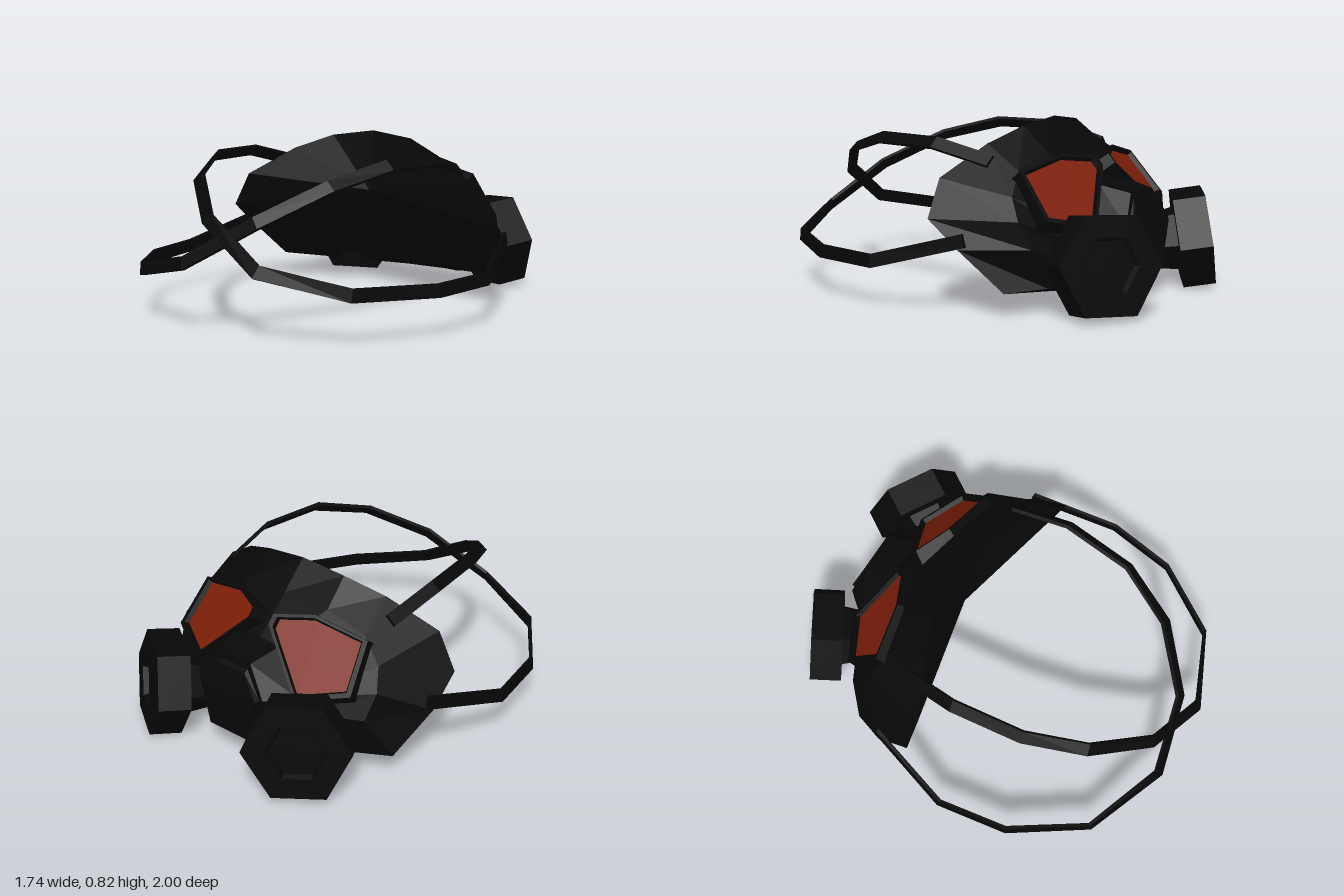
import * as THREE from 'three';

const V = (x, y, z) => new THREE.Vector3(x, y, z);
const rubber = new THREE.MeshStandardMaterial({ color: 0x070707, flatShading: true });
rubber.name = 'black rubber';
const amber = new THREE.MeshStandardMaterial({ color: 0x7d1f0a, flatShading: true });
amber.name = 'amber lens';

// Skin a row of closed rings; optional centre points close the first and last ring.
function loft(rings, startCentre, endCentre) {
  const pos = [];
  const tri = (...pts) => pts.forEach(p => pos.push(p.x, p.y, p.z));
  const n = rings[0].length;
  for (let i = 0; i < n; i++) {
    const j = (i + 1) % n;
    for (let r = 0; r < rings.length - 1; r++) {
      const [a, b, c, d] = [rings[r][i], rings[r][j], rings[r + 1][j], rings[r + 1][i]];
      tri(a, b, c);
      tri(a, c, d);
    }
    if (startCentre) tri(startCentre, rings[0][j], rings[0][i]);
    if (endCentre) tri(endCentre, rings.at(-1)[i], rings.at(-1)[j]);
  }
  const g = new THREE.BufferGeometry();
  g.setAttribute('position', new THREE.Float32BufferAttribute(pos, 3));
  g.computeVertexNormals();
  return g;
}

// Complete a half outline (top to bottom on +x) with its mirror image.
function mirrorRing(half) {
  const pts = half.map(p => V(...p));
  const other = pts.filter(p => p.x > 0).reverse().map(p => V(-p.x, p.y, p.z));
  return [...pts, ...other];
}

const centreOf = ring => ring.reduce((s, p) => s.add(p), V(0, 0, 0)).divideScalar(ring.length);

export function createModel() {
  const model = new THREE.Group();
  const add = (name, geometry, material = rubber) => {
    const m = new THREE.Mesh(geometry, material);
    m.name = name;
    model.add(m);
    return m;
  };

  // Face shell: rear rim, brow and cheek ring, ring around the snout
  const rim = [[0, 0.83, -0.28], [0.23, 0.8, -0.26], [0.42, 0.73, -0.19], [0.65, 0.59, -0.09],
    [0.75, 0.42, -0.1], [0.76, 0.3, -0.27], [0.68, 0.115, -0.46], [0.3, 0.09, -0.62], [0, 0.09, -0.64]];
  const brow = [[0, 0.7, -0.41], [0.25, 0.69, -0.4], [0.45, 0.62, -0.38], [0.56, 0.52, -0.42],
    [0.6, 0.42, -0.48], [0.58, 0.3, -0.54], [0.5, 0.12, -0.57], [0.28, 0.09, -0.65], [0, 0.09, -0.66]];
  const muzzle = [[0, 0.54, -0.58], [0.1, 0.53, -0.58], [0.22, 0.42, -0.64], [0.3, 0.37, -0.66],
    [0.35, 0.3, -0.66], [0.33, 0.2, -0.67], [0.27, 0.11, -0.68], [0.18, 0.09, -0.68], [0, 0.09, -0.68]];
  add('faceShell', loft([rim, brow, muzzle].map(mirrorRing), V(0, 0.53, -0.24), V(0, 0.3, -0.7)));

  // Snout block with a raised front panel
  const snoutRings = [
    [[0.13, 0.54, -0.61], [0.3, 0.37, -0.67], [0.22, 0.09, -0.66]],
    [[0.1, 0.51, -0.755], [0.2, 0.37, -0.79], [0.13, 0.13, -0.8]],
    [[0.085, 0.48, -0.76], [0.175, 0.36, -0.785], [0.11, 0.16, -0.795]],
    [[0.08, 0.46, -0.775], [0.17, 0.36, -0.81], [0.1, 0.17, -0.82]],
  ].map(mirrorRing);
  add('snout', loft(snoutRings, null, centreOf(snoutRings[3])));

  // Eye outline in x and z, lying on one sloped plane
  const eyeOutline = [[0.3, -0.666], [0.08, -0.56], [0.08, -0.53], [0.23, -0.46], [0.46, -0.42], [0.49, -0.56]];
  const eyePlane = (x, z) => 0.65 - 0.41 * (x - 0.23) + 1.14 * (z + 0.46);
  const eyeNormal = V(0.41, 1, -1.14).normalize();
  const eyeRing = (side, scale, lift) => {
    const pts = eyeOutline.map(([x, z]) => V(x, eyePlane(x, z), z));
    const c = centreOf(pts);
    const ring = pts.map(p => {
      const q = p.sub(c).multiplyScalar(scale).add(c).addScaledVector(eyeNormal, lift);
      q.x *= side;
      return q;
    });
    return side > 0 ? ring : ring.reverse();
  };

  // Strap path: point, then outward direction
  const strapPath = [
    [0.5, 0.66, -0.26, 0.7, 0.7, 0], [0.53, 0.728, 0.03, 0.7, 0.7, 0],
    [0.49, 0.73, 0.38, 0.7, 0.7, 0.2], [0.365, 0.655, 0.66, 0.5, 0.7, 0.5],
    [0.13, 0.505, 0.89, 0.15, 0.45, 0.9], [-0.2, 0.315, 0.98, -0.2, 0.4, 0.9],
    [-0.58, 0.23, 0.825, -0.6, 0.1, 0.8], [-0.805, 0.22, 0.485, -0.9, 0.1, 0.35],
    [-0.86, 0.222, 0.14, -1, 0.1, 0], [-0.74, 0.34, -0.29, -1, 0.1, -0.3],
  ];

  for (const side of [1, -1]) {
    const label = side > 0 ? 'left' : 'right';

    // Eye frame and lens
    add(label + 'EyeFrame', loft([eyeRing(side, 1.25, -0.07), eyeRing(side, 1.17, 0.025),
      eyeRing(side, 1.06, 0.025), eyeRing(side, 1, 0)]));
    const lens = eyeRing(side, 1.02, 0.004);
    add(label + 'Lens', loft([lens], null, centreOf(lens)), amber);

    // Hexagonal filter canister with neck and recessed face, rolled slightly outward
    const profile = [[0, -0.2], [0.12, -0.2], [0.16, 0], [0.25, 0], [0.25, 0.155],
      [0.14, 0.155], [0.125, 0.13], [0, 0.13]].map(p => new THREE.Vector2(...p));
    const axis = V(0.515 * side, 0.145, -0.84).normalize();
    const across = axis.clone().cross(V(0, 1, 0)).normalize().applyAxisAngle(axis, -0.06 * side);
    const filter = add(label + 'Filter', new THREE.LatheGeometry(profile, 6));
    filter.quaternion.setFromRotationMatrix(
      new THREE.Matrix4().makeBasis(axis.clone().cross(across), axis, across));
    filter.position.set(0.387 * side, 0.228, -0.74);

    // Flat strap from one temple, crossing behind, to the opposite cheek
    const pts = strapPath.map(p => V(p[0] * side, p[1], p[2]));
    const rings = pts.map((p, i) => {
      const t = pts[Math.min(i + 1, pts.length - 1)].clone().sub(pts[Math.max(i - 1, 0)]).normalize();
      const [, , , nx, ny, nz] = strapPath[i];
      const n = V(nx * side, ny, nz);
      n.addScaledVector(t, -n.dot(t)).normalize();
      const w = t.clone().cross(n);
      return [[1, 1], [-1, 1], [-1, -1], [1, -1]].map(([a, b]) =>
        p.clone().addScaledVector(n, a * 0.009).addScaledVector(w, b * 0.031));
    });
    add(label + 'Strap', loft(rings, pts[0], pts.at(-1)));
  }
  return model;
}
